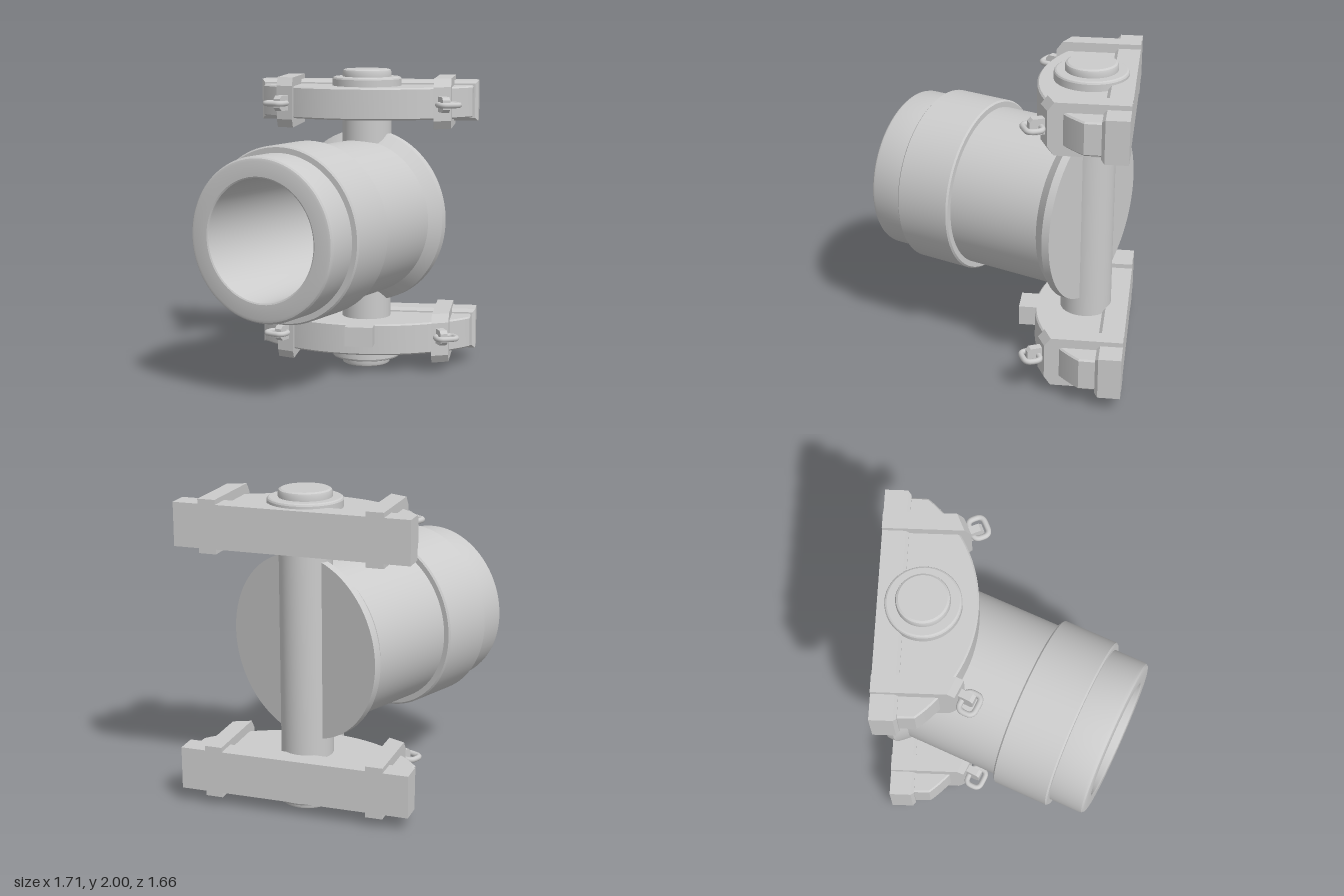
import * as THREE from 'three';
import { toCreasedNormals } from 'three/addons/utils/BufferGeometryUtils.js';

const material = new THREE.MeshStandardMaterial({ color: 0xcccccc });
const V2 = (x, y) => new THREE.Vector2(x, y);

function add(parent, name, geometry, x = 0, y = 0, z = 0) {
  const mesh = new THREE.Mesh(geometry, material);
  mesh.name = name;
  mesh.position.set(x, y, z);
  parent.add(mesh);
  return mesh;
}

const lathe = (points, sides) =>
  toCreasedNormals(new THREE.LatheGeometry(points.map(p => V2(...p)), sides), 0.45);

// Hollow barrel with rear flange and raised band, turned about its own axis
function barrelGeometry() {
  const g = lathe([
    [0, -0.035], [0.58, -0.035], [0.58, 0.015], [0.515, 0.09],
    [0.515, 0.70], [0.55, 0.70], [0.56, 0.71], [0.56, 1.06], [0.55, 1.07], [0.515, 1.07],
    [0.515, 1.27], [0.511, 1.285], [0.502, 1.295], [0.485, 1.30],
    [0.392, 1.30], [0.383, 1.295], [0.38, 1.285], [0.38, 0.04], [0, 0.04],
  ], 96);
  return g.rotateX(Math.PI / 2);
}

// Vertical pivot pin with a washer and a rounded cap at each end
function pinGeometry() {
  const half = [
    [0.163, 0.85], [0.23, 0.85], [0.23, 0.935], [0.225, 0.945], [0.215, 0.95], [0.163, 0.95],
    [0.163, 0.98], [0.158, 0.993], [0.145, 1], [0, 1],
  ];
  const lower = half.map(([r, y]) => [r, -y]).reverse();
  return lathe([...lower, ...half], 48);
}

// Back plate: a box whose front edges are chamfered
function plateGeometry() {
  const g = new THREE.BoxGeometry(1.47, 0.27, 0.16, 1, 1, 2);
  const p = g.attributes.position;
  for (let i = 0; i < p.count; i++) {
    if (Math.abs(p.getZ(i)) < 0.01) p.setZ(i, 0.06);
    else if (p.getZ(i) > 0) {
      p.setX(i, p.getX(i) - 0.02 * Math.sign(p.getX(i)));
      p.setY(i, p.getY(i) - 0.02 * Math.sign(p.getY(i)));
    }
  }
  return toCreasedNormals(g, 0.3);
}

// Bow-fronted bearing body, drawn in plan and extruded upwards
function bodyGeometry() {
  const b = 0.01, s = new THREE.Shape();
  s.moveTo(0.705 - b, 0.70);
  s.lineTo(-0.705 + b, 0.70);
  s.absarc(0, 1.14, 0.90 - b, Math.atan2(-0.56, -0.695), Math.atan2(-0.56, 0.695), false);
  s.closePath();
  const g = new THREE.ExtrudeGeometry(s, {
    depth: 0.19, bevelEnabled: true, bevelSize: b, bevelThickness: b, bevelSegments: 1, curveSegments: 32,
  });
  g.rotateX(-Math.PI / 2).translate(0, -0.095, 0);
  return toCreasedNormals(g, 0.4);
}

// Strap: chamfered side profile extruded across, front sheared to follow the bow
function strapGeometry(side) {
  const w = 0.11;
  const s = new THREE.Shape([
    V2(0.84, -0.165), V2(0.84, 0.165), V2(0.37, 0.165),
    V2(0.33, 0.11), V2(0.33, -0.11), V2(0.37, -0.165),
  ]);
  const g = new THREE.ExtrudeGeometry(s, { depth: w, bevelEnabled: false });
  g.translate(0, 0, -w / 2).rotateY(Math.PI / 2);
  const p = g.attributes.position;
  for (let i = 0; i < p.count; i++) {
    if (p.getZ(i) > -0.6) p.setZ(i, p.getZ(i) - side * 0.45 * p.getX(i));
  }
  g.computeVertexNormals();
  return g;
}

// Oblong link lying flat
function linkGeometry() {
  const a = 0.066, b = 0.05, r = 0.035, pts = [];
  for (const [sx, sz, start] of [[1, 1, 0], [-1, 1, 1], [-1, -1, 2], [1, -1, 3]]) {
    for (let i = 0; i <= 4; i++) {
      const t = (start + i / 4) * Math.PI / 2;
      pts.push(new THREE.Vector3(sx * (a - r) + r * Math.cos(t), 0, sz * (b - r) + r * Math.sin(t)));
    }
  }
  const path = new THREE.CatmullRomCurve3(pts, true);
  return new THREE.TubeGeometry(path, 48, 0.018, 10, true);
}

// Eye that holds the link: an upright plate with a rounded nose
function eyeGeometry() {
  const s = new THREE.Shape([
    V2(-0.07, -0.05), V2(0.025, -0.05), V2(0.045, -0.03),
    V2(0.045, 0.03), V2(0.025, 0.05), V2(-0.07, 0.05),
  ]);
  const g = new THREE.ExtrudeGeometry(s, { depth: 0.05, bevelEnabled: false });
  return g.translate(0, 0, -0.025).rotateY(-Math.PI / 2);
}

function bracket(name, linkOffset) {
  const g = new THREE.Group();
  g.name = name;
  add(g, 'backPlate', plateGeometry(), 0, 0, -0.76);
  add(g, 'bearingBody', bodyGeometry());
  for (const side of [-1, 1]) {
    const label = side > 0 ? 'left' : 'right';
    add(g, label + 'Strap', strapGeometry(side), side * 0.52, 0, 0);
    const clip = new THREE.Group();
    clip.name = label + 'Clip';
    clip.position.set(side * 0.565, linkOffset, -0.27);
    clip.rotation.y = side * 0.42;
    add(clip, 'eye', eyeGeometry(), -side * 0.02, 0, -0.025);
    add(clip, 'link', linkGeometry());
    g.add(clip);
  }
  return g;
}

export function createModel() {
  const model = new THREE.Group();
  model.name = 'pivotingBarrel';
  const px = 0.115, pz = -0.565;

  add(model, 'pivotPin', pinGeometry(), px, 1, pz);
  add(model, 'barrel', barrelGeometry(), px, 1.017, pz).rotation.y = -0.4;

  const upper = bracket('upperBracket', 0);
  upper.position.set(px, 1.785, 0);
  const lower = bracket('lowerBracket', 0.025);
  lower.position.set(px, 0.225, 0);
  // Stop block on the front of the lower bracket
  add(lower, 'stopBlock', new THREE.BoxGeometry(0.185, 0.13, 0.16), 0, 0.04, -0.22);
  model.add(upper, lower);
  return model;
}
